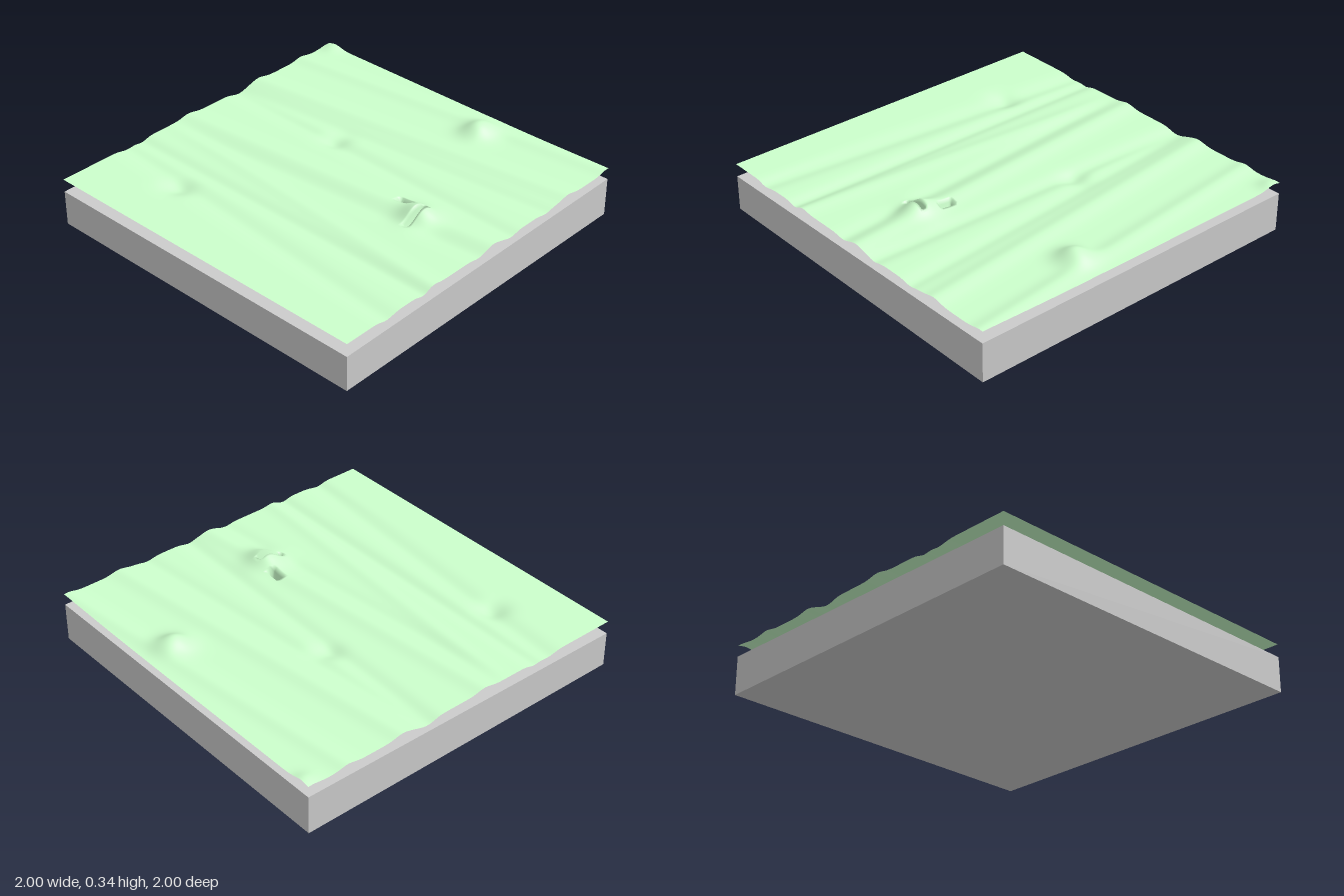
import * as THREE from 'three';

// Long folds in the sheet: z at the left edge, z at the right edge, height, width
const folds = [
  [-0.76, -0.98, 0.014, 0.055],
  [-0.42, -0.65, 0.016, 0.06],
  [-0.29, -0.47, -0.012, 0.05],
  [-0.24, -0.19, -0.014, 0.05],
  [0.12, -0.05, 0.016, 0.06],
  [0.24, 0.06, -0.010, 0.05],
  [0.24, 0.40, 0.010, 0.05],
  [0.46, 0.47, -0.015, 0.045],
  [0.56, 0.73, -0.014, 0.06],
];
// Round mounds and hollows: x, z, height, radius
const mounds = [
  [0.27, -0.82, 0.060, 0.085],
  [0.57, 0.01, 0.052, 0.095],
  [-0.25, -0.26, -0.022, 0.07],
  [-0.53, 0.64, -0.026, 0.075],
  [-0.95, -0.98, 0.02, 0.06],
];
// Narrow slots pressed down to the slab: x, z, half width, half depth
const slots = [
  [0.43, -0.04, 0.045, 0.02],
  [0.57, 0.035, 0.016, 0.08],
];

const bell = (d, w) => Math.exp(-(d * d) / (w * w));

function sheetHeight(x, z) {
  let y = 0;
  for (const [zl, zr, h, w] of folds) {
    const centre = THREE.MathUtils.lerp(zl, zr, (x + 1) / 2);
    y += h * bell(z - centre, w);
  }
  for (const [mx, mz, h, r] of mounds) y += h * bell(Math.hypot(x - mx, z - mz), r);
  y = 0.274 + y * (1 - THREE.MathUtils.smoothstep(z, 0.74, 0.84));
  for (const [sx, sz, hx, hz] of slots) {
    const d = Math.max(Math.abs(x - sx) - hx, Math.abs(z - sz) - hz);
    y = THREE.MathUtils.lerp(y, 0.2, THREE.MathUtils.clamp(-d / 0.012, 0, 1));
  }
  return y;
}

export function createModel() {
  const group = new THREE.Group();

  // Slab whose top rises slightly toward the back
  const slabGeo = new THREE.BoxGeometry(2, 0.2, 2).translate(0, 0.1, 0);
  const sp = slabGeo.attributes.position;
  for (let i = 0; i < sp.count; i++) {
    if (sp.getY(i) > 0.1 && sp.getZ(i) < 0) sp.setY(i, 0.22);
  }
  slabGeo.computeVertexNormals();
  const slab = new THREE.Mesh(slabGeo, new THREE.MeshStandardMaterial({ color: 0xcccccc }));
  slab.name = 'baseSlab';
  group.add(slab);

  // Thin rippled sheet floating just above the slab
  const sheetGeo = new THREE.PlaneGeometry(2, 2, 180, 180).rotateX(-Math.PI / 2);
  const p = sheetGeo.attributes.position;
  for (let i = 0; i < p.count; i++) p.setY(i, sheetHeight(p.getX(i), p.getZ(i)));
  sheetGeo.computeVertexNormals();
  const sheet = new THREE.Mesh(
    sheetGeo,
    new THREE.MeshStandardMaterial({ color: 0xccffcc, side: THREE.DoubleSide })
  );
  sheet.name = 'terrainSheet';
  group.add(sheet);

  return group;
}
